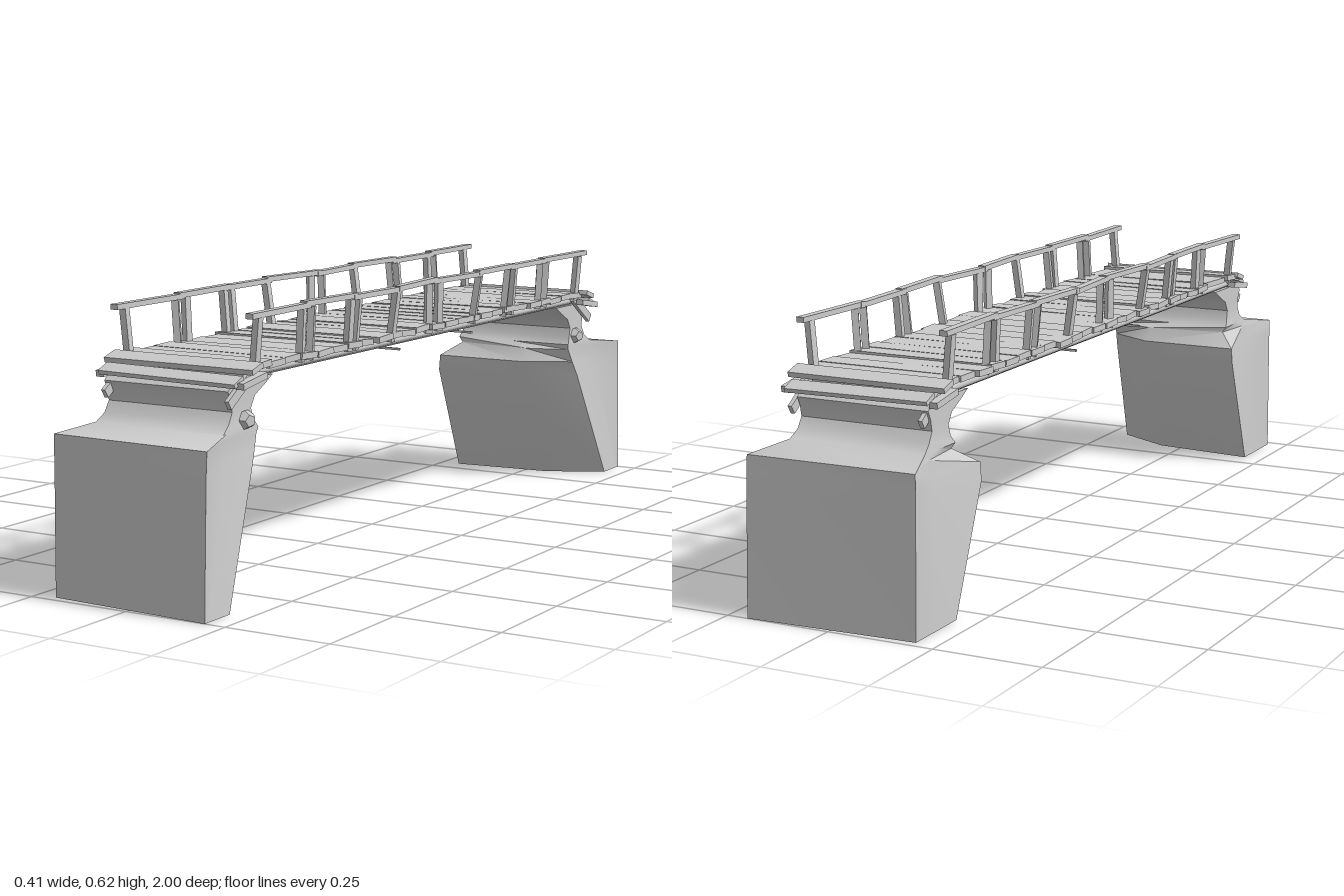
import * as THREE from 'three';
import { toCreasedNormals } from 'three/addons/utils/BufferGeometryUtils.js';

const wood = new THREE.MeshStandardMaterial({ color: 0xcccccc, flatShading: true });
const stone = new THREE.MeshStandardMaterial({ color: 0xcccccc });

let seed = 7;
const jitter = (a) => {
  seed = (seed * 16807) % 2147483647;
  return (seed / 2147483647 - 0.5) * 2 * a;
};

function box(parent, name, size, pos, rot = [0, 0, 0]) {
  const m = new THREE.Mesh(new THREE.BoxGeometry(...size), wood);
  m.name = name;
  m.position.set(...pos);
  m.rotation.set(...rot);
  parent.add(m);
  return m;
}

// Square timber running from point a to point b
function timber(parent, name, a, b, w, h) {
  const A = new THREE.Vector3(...a), B = new THREE.Vector3(...b);
  const m = box(parent, name, [w, h, A.distanceTo(B)], [0, 0, 0]);
  m.position.copy(A).add(B).multiplyScalar(0.5);
  m.lookAt(B);
}

// Closed solid from stacked rings of equal point count
function loft(rings, flip) {
  const n = rings[0].length, pos = [], idx = [];
  const tri = (a, b, c) => (flip ? idx.push(a, c, b) : idx.push(a, b, c));
  rings.forEach((r) => r.forEach((p) => pos.push(...p)));
  for (let j = 0; j < rings.length - 1; j++) {
    for (let i = 0; i < n; i++) {
      const a = j * n + i, b = j * n + (i + 1) % n;
      tri(a, b, b + n);
      tri(a, b + n, a + n);
    }
  }
  const top = (rings.length - 1) * n;
  for (let i = 1; i < n - 1; i++) {
    tri(0, i + 1, i);
    tri(top, top + i, top + i + 1);
  }
  const g = new THREE.BufferGeometry();
  g.setAttribute('position', new THREE.Float32BufferAttribute(pos, 3));
  g.setIndex(idx);
  return toCreasedNormals(g, 0.65);
}

// Rock pier: flat outer wall, slanted inner side with one jutting corner, waisted neck
function abutment(s) {
  const g = new THREE.Group();
  g.name = s > 0 ? 'frontAbutment' : 'backAbutment';
  // Rock outlines as [x, z], starting on the outer wall
  const rock = [
    [0, [[-0.2, 0.98], [0.2, 1], [0.2, 0.985], [0.2, 0.91], [0.06, 0.835], [-0.2, 0.81], [-0.2, 0.9]]],
    [0.28, [[-0.2, 0.975], [0.2, 0.99], [0.175, 0.895], [0.174, 0.785], [0.05, 0.71], [-0.203, 0.7], [-0.178, 0.87]]],
    [0.32, [[-0.2, 0.975], [0.2, 0.988], [0.17, 0.885], [0.168, 0.765], [0.05, 0.7], [-0.2, 0.7], [-0.172, 0.86]]],
    [0.354, [[-0.2, 0.975], [0.2, 0.985], [0.166, 0.872], [0.163, 0.75], [0.05, 0.72], [-0.155, 0.745], [-0.166, 0.86]]],
  ];
  // Neck sections: y, half width, outer z, inner z
  const neck = [
    [0.368, 0.165, 0.875, 0.745], [0.385, 0.161, 0.85, 0.758], [0.41, 0.16, 0.835, 0.765],
    [0.435, 0.16, 0.84, 0.75], [0.455, 0.16, 0.85, 0.71], [0.472, 0.16, 0.83, 0.68],
  ].map(([y, w, zo, zi]) => [y, [[-w, zo], [w, zo], [w, zo - 0.01], [w, zi], [0, zi], [-w, zi], [-w, (zo + zi) / 2]]]);
  const rings = [...rock, ...neck].map(([y, pts]) => pts.map(([x, z]) => [x, y, s * z]));
  const pier = new THREE.Mesh(loft(rings, s < 0), stone);
  pier.name = 'rockPier';
  g.add(pier);

  // Small boulder wedged beside the neck
  const b = new THREE.Mesh(new THREE.DodecahedronGeometry(0.022, 0), wood);
  b.name = 'boulder';
  b.position.set(0.163, 0.388, s * 0.79);
  b.rotation.set(0.4, 0.7, 0.2);
  g.add(b);

  // Sloped end bearers and the two tilted step planks
  for (const x of [-0.15, 0.168]) {
    timber(g, 'endBearer', [x, 0.428, s * 0.862], [x, 0.492, s * 0.765], 0.01, 0.022);
  }
  for (const x of [-0.172, 0.19]) {
    timber(g, 'sideBracket', [x, 0.468, s * 0.85], [x, 0.482, s * 0.76], 0.02, 0.014);
  }
  box(g, 'stepPlank', [0.384, 0.012, 0.042], [0.01, 0.5, s * 0.8], [s * 0.3, 0, 0]);
  box(g, 'stepPlank', [0.35, 0.01, 0.036], [0.01, 0.478, s * 0.846], [s * 0.4, 0, -0.015]);
  return g;
}

function deck() {
  const g = new THREE.Group();
  g.name = 'deck';
  // Cross planks laid edge to edge with slight irregularity
  const n = 25, step = 1.58 / n;
  for (let i = 0; i < n; i++) {
    const z = -0.79 + (i + 0.5) * step;
    box(g, 'plank', [0.355 + jitter(0.01), 0.014, step - 0.001],
      [0.004 + jitter(0.005), 0.5 + jitter(0.002), z],
      [jitter(0.07), jitter(0.01), jitter(0.006)]);
  }
  // Round logs carrying the planks
  for (const x of [-0.12, -0.04, 0.04, 0.12]) {
    const log = new THREE.Mesh(new THREE.CylinderGeometry(0.041, 0.041, 1.58, 16), stone);
    log.name = 'log';
    log.rotation.x = Math.PI / 2;
    log.scale.z = 0.4;
    log.position.set(x, 0.483, 0);
    g.add(log);
  }
  // Thin bars binding the logs from below
  for (const z of [-0.175, 0.175]) box(g, 'crossBar', [0.35, 0.005, 0.006], [0.005, 0.466, z]);
  return g;
}

function railing(side) {
  const g = new THREE.Group();
  g.name = side > 0 ? 'leftRailing' : 'rightRailing';
  // z and distance from the centre line at each rail joint
  const half = [[0, 0.163], [0.195, 0.18], [0.38, 0.172], [0.57, 0.167], [0.8, 0.175]];
  const nodes = [...half.slice(1).reverse().map(([z, x]) => [-z, x]), ...half];
  const offset = 0.006;
  const railX = (z) => {
    const i = nodes.findIndex((p) => p[0] >= z);
    const [a, b] = [nodes[i - 1], nodes[i]];
    return side * THREE.MathUtils.lerp(a[1], b[1], (z - a[0]) / (b[0] - a[0])) + offset;
  };
  // Handrail pieces, overlapping a little at the joints
  for (let i = 1; i < nodes.length; i++) {
    const [a, b] = [nodes[i - 1], nodes[i]];
    const y = 0.608 + (i % 2) * 0.003;
    timber(g, 'handrail', [side * a[1] + offset, y, a[0] - (i > 1 ? 0.008 : 0)],
      [side * b[1] + offset, y + jitter(0.002), b[0] + (i < nodes.length - 1 ? 0.008 : 0)], 0.019, 0.012);
  }
  // Posts, paired near the joints and leaning outward
  for (const z of [0.765, 0.585, 0.545, 0.39, 0.36, 0.2, 0.025, -0.025, -0.2, -0.365, -0.4, -0.555, -0.59, -0.765]) {
    timber(g, 'post', [side * 0.162 + offset, 0.486, z + jitter(0.004)], [railX(z), 0.604, z], 0.016, 0.016);
  }
  return g;
}

export function createModel() {
  const model = new THREE.Group();
  model.name = 'footbridge';
  model.add(deck(), railing(1), railing(-1), abutment(1), abutment(-1));
  return model;
}
